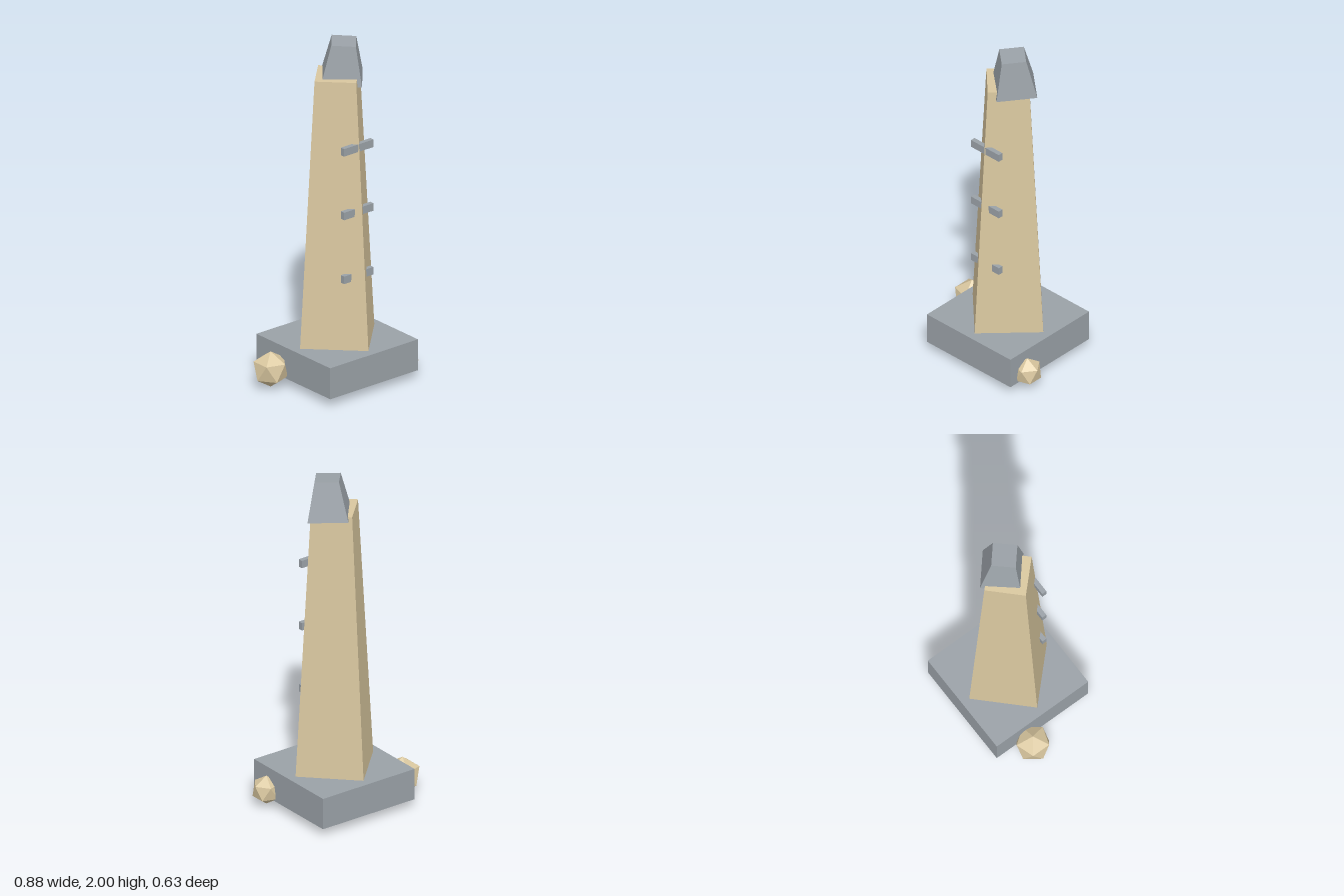
import * as THREE from 'three';

const stone = new THREE.MeshStandardMaterial({ color: 0x9aa1a7 });
stone.name = 'grey stone';
const sand = new THREE.MeshStandardMaterial({ color: 0xd9c79f });
sand.name = 'sandstone';

const AXIS_X = 0.035; // the plinth and shaft share this centre line

export function createModel() {
  const model = new THREE.Group();
  model.name = 'obelisk';

  function add(name, geometry, material, x, y, z) {
    // unshared vertices give every face its own flat normal
    const flat = geometry.index ? geometry.toNonIndexed() : geometry;
    flat.computeVertexNormals();
    const mesh = new THREE.Mesh(flat, material);
    mesh.name = name;
    mesh.position.set(x, y, z);
    model.add(mesh);
    return mesh;
  }

  // square plinth
  add('plinth', new THREE.BoxGeometry(0.63, 0.185, 0.63), stone, AXIS_X, 0.142, 0);

  // tapered four-sided shaft, set corner-forward
  const shaftHeight = 1.57;
  add('shaft', new THREE.CylinderGeometry(0.163, 0.267, shaftHeight, 4), sand,
    AXIS_X, 0.235 + shaftHeight / 2, 0);

  // knocked-askew capstone
  const cap = add('capstone', new THREE.CylinderGeometry(0.096, 0.16, 0.224, 4), stone,
    0.077, 1.883, -0.002);
  cap.rotation.set(0.075, 0.07, 0);

  // three equal bars through the front corner, sunk deeper as the shaft widens
  [0.66, 1.042, 1.423].forEach((y, i) => {
    add('frontBar' + (i + 1), new THREE.BoxGeometry(0.21, 0.045, 0.028), stone, AXIS_X, y, 0.171);
  });

  // faceted boulders standing on a vertex beside the plinth
  const golden = (1 + Math.sqrt(5)) / 2;
  function boulder(name, radius, x, y, z) {
    const geometry = new THREE.IcosahedronGeometry(radius, 0);
    geometry.rotateX(-Math.atan(golden));
    geometry.rotateY(Math.PI / 2);
    add(name, geometry, sand, x, y, z);
  }
  boulder('rightBoulder', 0.105, -0.346, 0.108, -0.116);
  boulder('leftBoulder', 0.085, 0.36, 0.1, 0.19);

  return model;
}
